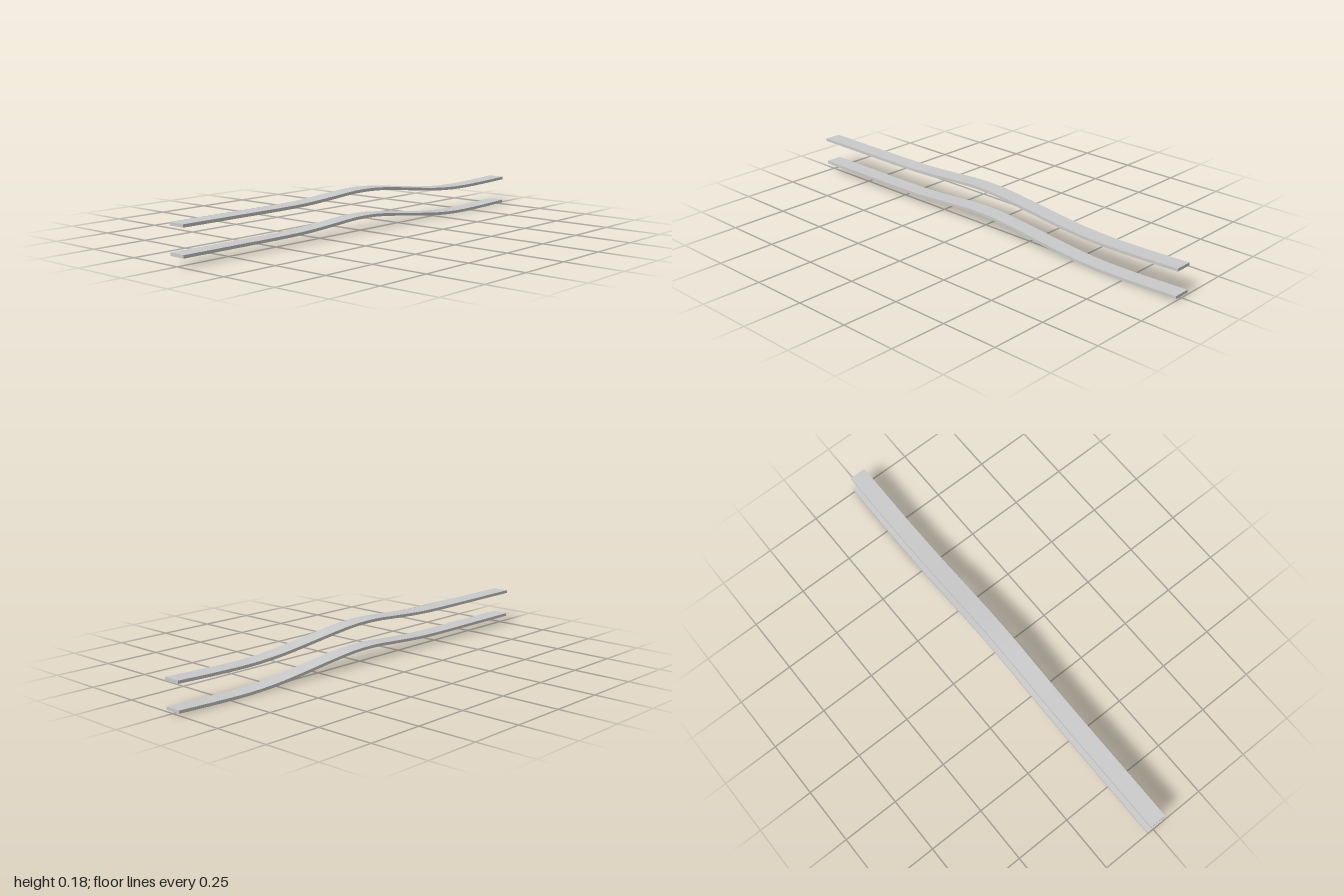
import * as THREE from 'three';
import { toCreasedNormals } from 'three/addons/utils/BufferGeometryUtils.js';

const THICKNESS = 0.0125;
const WIDTH = 0.074;
const SPACING = 0.1125;

// Centre line of one strip: flat, over a hump, into a shallow dip
const path = new THREE.SplineCurve([
  [-1, 0.0415], [-0.75, 0.0415], [-0.5, 0.0415], [-0.35, 0.0445], [-0.2, 0.0535],
  [-0.1, 0.0605], [-0.02, 0.0627], [0.08, 0.0595], [0.2, 0.0475], [0.3, 0.0355],
  [0.4, 0.0235], [0.5, 0.0135], [0.6, 0.0078], [0.7, 0.00625], [0.85, 0.009], [1, 0.0138],
].map(([x, y]) => new THREE.Vector2(x, y)));

// Wavy side profile, pulled out across the width
function stripGeometry() {
  const line = path.getSpacedPoints(72);
  const half = THICKNESS / 2;
  const lower = line.map(p => new THREE.Vector2(p.x, p.y - half));
  const upper = line.map(p => new THREE.Vector2(p.x, p.y + half)).reverse();
  const geometry = new THREE.ExtrudeGeometry(new THREE.Shape([...lower, ...upper]), {
    depth: WIDTH, bevelEnabled: false, steps: 1,
  });
  geometry.translate(0, 0, -WIDTH / 2);
  return toCreasedNormals(geometry, Math.PI / 6);
}

export function createModel() {
  const model = new THREE.Group();
  model.name = 'wavyStrips';
  const material = new THREE.MeshStandardMaterial({ color: 0xcccccc });
  const geometry = stripGeometry();

  // Two identical strips, one above the other
  ['lowerStrip', 'upperStrip'].forEach((name, i) => {
    const strip = new THREE.Mesh(geometry, material);
    strip.name = name;
    strip.position.y = i * SPACING;
    model.add(strip);
  });
  return model;
}
